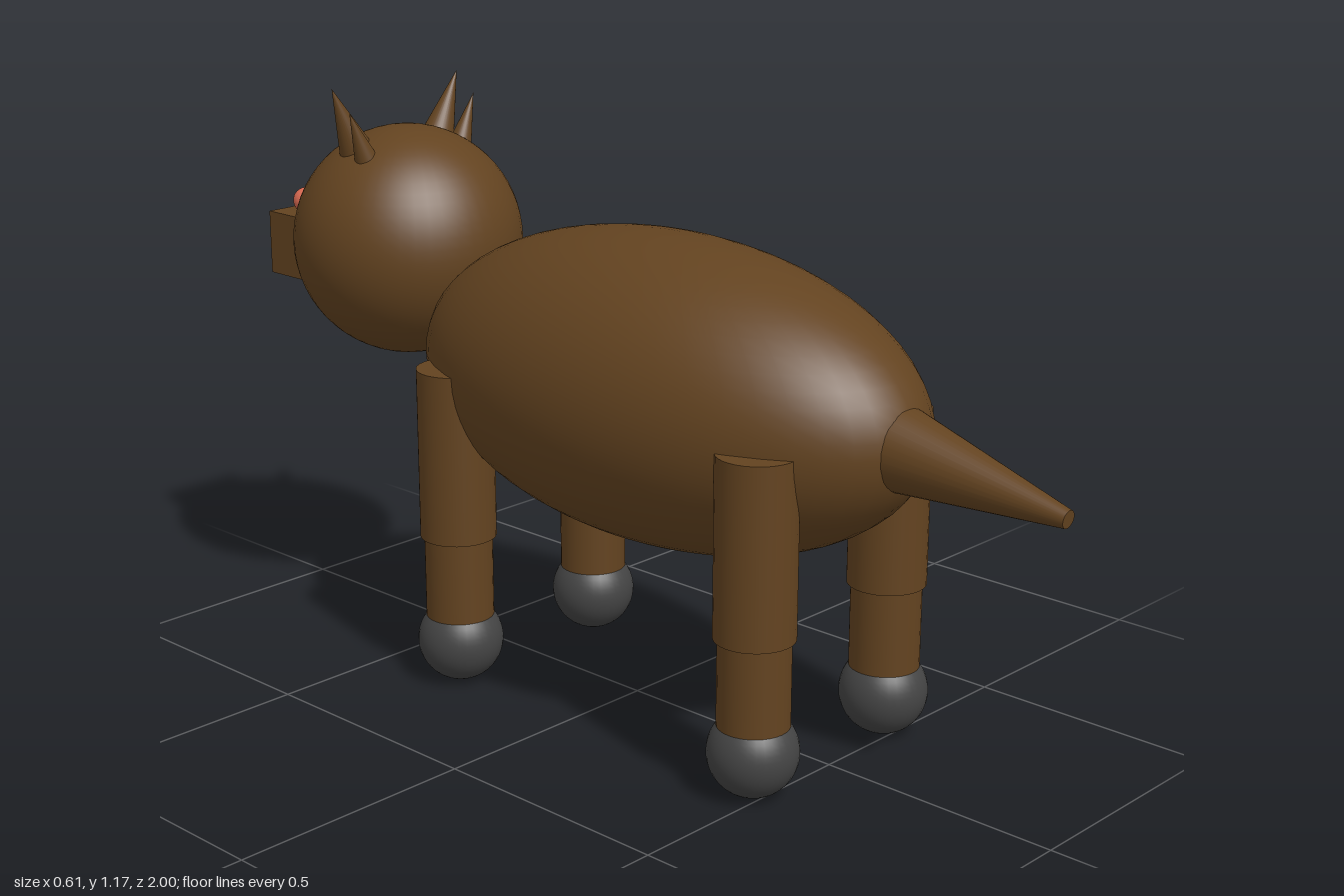
import * as THREE from 'three';

export function createModel() {
  const model = new THREE.Group();
  model.name = 'animal';

  const material = (name, color) => {
    const m = new THREE.MeshStandardMaterial({ color });
    m.name = name;
    return m;
  };
  const fur = material('brown fur', 0x634320);
  const hoofGrey = material('hoof grey', 0x444444);
  const eyeRed = material('eye red', 0xdb6a52);

  const add = (name, geometry, mat, x, y, z) => {
    const mesh = new THREE.Mesh(geometry, mat);
    mesh.name = name;
    mesh.position.set(x, y, z);
    model.add(mesh);
    return mesh;
  };

  // Tapered round part running from point a to point b
  const up = new THREE.Vector3(0, 1, 0);
  const taper = (name, a, b, ra, rb) => {
    const start = new THREE.Vector3(...a);
    const dir = new THREE.Vector3(...b).sub(start);
    const mid = start.clone().addScaledVector(dir, 0.5);
    const geometry = new THREE.CylinderGeometry(rb, ra, dir.length(), 32);
    const mesh = add(name, geometry, fur, mid.x, mid.y, mid.z);
    mesh.quaternion.setFromUnitVectors(up, dir.normalize());
    return mesh;
  };

  // Body: a long ellipsoid
  const body = add('body', new THREE.SphereGeometry(1, 48, 32), fur, 0, 0.66, 0.075);
  body.scale.set(0.303, 0.303, 0.603);

  // Head and muzzle, facing -z
  add('head', new THREE.SphereGeometry(0.241, 48, 32), fur, 0, 0.835, -0.665);
  add('muzzle', new THREE.BoxGeometry(0.21, 0.136, 0.27), fur, 0, 0.791, -0.865);

  // Tail, drooping slightly towards its tip
  taper('tail', [0, 0.667, 0.58], [0, 0.615, 0.998], 0.09, 0.017);

  for (const [side, s] of [['left', 1], ['right', -1]]) {
    // Eyes and the paired ear cones
    add(side + 'Eye', new THREE.SphereGeometry(0.028, 24, 16), eyeRed, s * 0.1, 0.9, -0.877);
    taper(side + 'LargeEar', [s * 0.11, 1.03, -0.692], [s * 0.171, 1.168, -0.692], 0.037, 0);
    taper(side + 'SmallEar', [s * 0.13, 1.025, -0.64], [s * 0.17, 1.125, -0.64], 0.024, 0);

    // Legs: thigh, shin and round hoof
    for (const [end, z] of [['Front', -0.315], ['Hind', 0.475]]) {
      const leg = side + end;
      const x = s * 0.193;
      add(leg + 'Thigh', new THREE.CylinderGeometry(0.077, 0.077, 0.35, 32), fur, x, 0.485, z);
      add(leg + 'Shin', new THREE.CylinderGeometry(0.069, 0.069, 0.24, 32), fur, x, 0.21, z);
      add(leg + 'Hoof', new THREE.SphereGeometry(0.087, 32, 24), hoofGrey, x, 0.087, z);
    }
  }
  return model;
}
